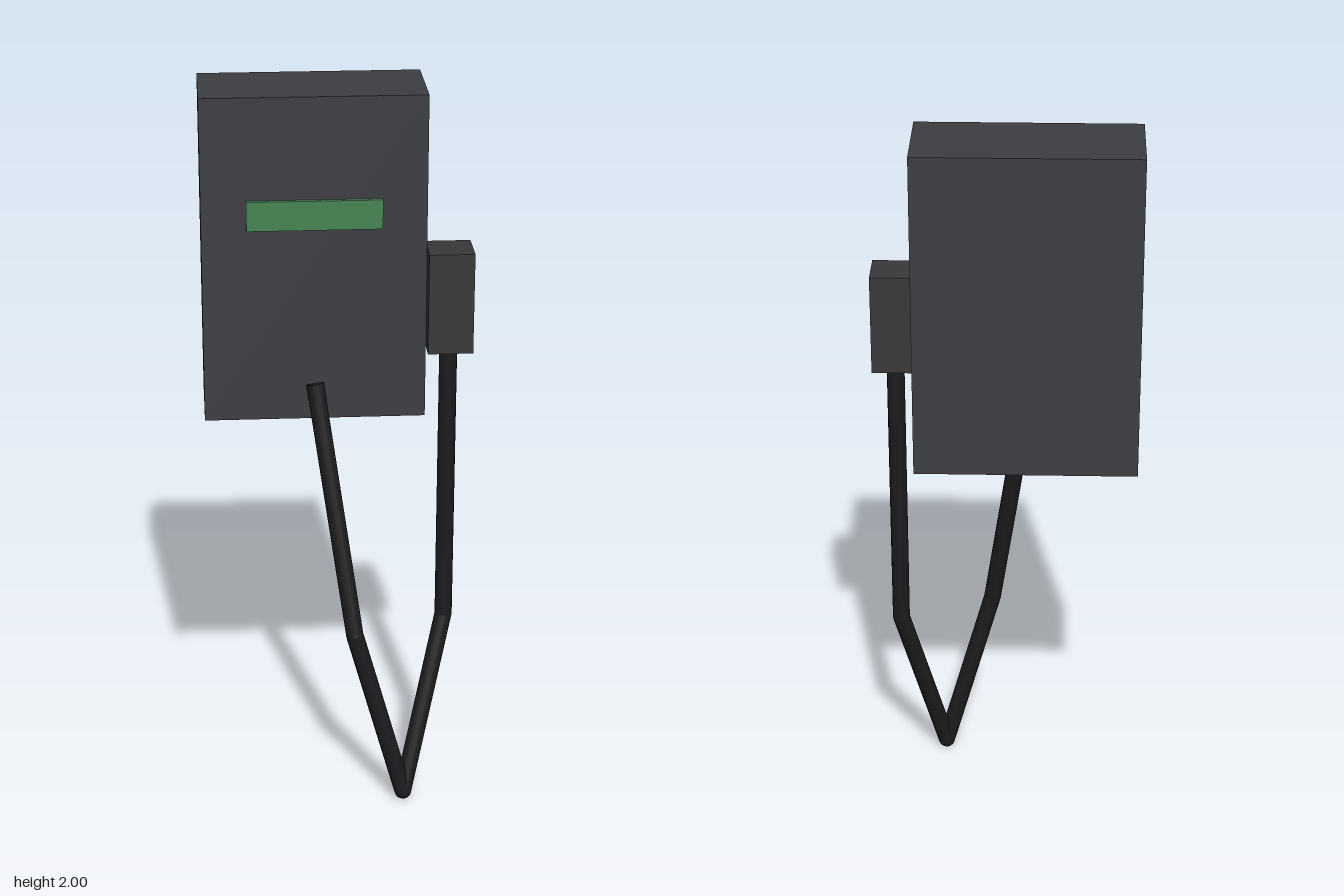
import * as THREE from 'three';

const material = (color) => new THREE.MeshStandardMaterial({ color });

// Box given by its minimum and maximum corners
function box(name, min, max, mat) {
  const size = max.map((v, i) => v - min[i]);
  const mesh = new THREE.Mesh(new THREE.BoxGeometry(...size), mat);
  mesh.position.set(...max.map((v, i) => (v + min[i]) / 2));
  mesh.name = name;
  return mesh;
}

// Straight round segments joined by ball-shaped bends
function bentCable(points, radius, mat) {
  const cable = new THREE.Group();
  cable.name = 'cable';
  const up = new THREE.Vector3(0, 1, 0);
  const pts = points.map((p) => new THREE.Vector3(...p));
  for (let i = 0; i < pts.length - 1; i++) {
    const dir = pts[i + 1].clone().sub(pts[i]);
    const segment = new THREE.Mesh(new THREE.CylinderGeometry(radius, radius, dir.length(), 16), mat);
    segment.position.copy(pts[i]).addScaledVector(dir, 0.5);
    segment.quaternion.setFromUnitVectors(up, dir.normalize());
    segment.name = 'cableSegment';
    cable.add(segment);
    if (i > 0) {
      const bend = new THREE.Mesh(new THREE.SphereGeometry(radius, 16, 12), mat);
      bend.position.copy(pts[i]);
      bend.name = 'cableBend';
      cable.add(bend);
    }
  }
  return cable;
}

export function createModel() {
  const model = new THREE.Group();
  model.name = 'wallCharger';

  // Wall cabinet with its front display strip
  model.add(box('cabinet', [-0.355, 1.117, -0.2], [0.235, 2, 0.055], material(0x3c3d42)));
  model.add(box('displayStrip', [-0.237, 1.648, 0.05], [0.118, 1.727, 0.067], material(0x458553)));

  // Plug holster on the left side
  model.add(box('plugHolster', [0.235, 1.315, -0.003], [0.355, 1.59, 0.115], material(0x38383a)));

  // Cable hanging from the cabinet front and rising to the holster
  model.add(bentCable([
    [-0.06, 1.217, 0.056],
    [0.04, 0.52, 0.175],
    [0.177, 0.024, 0.175],
    [0.295, 0.52, 0.056],
    [0.295, 1.33, 0.056],
  ], 0.024, material(0x1c1c1e)));

  return model;
}
